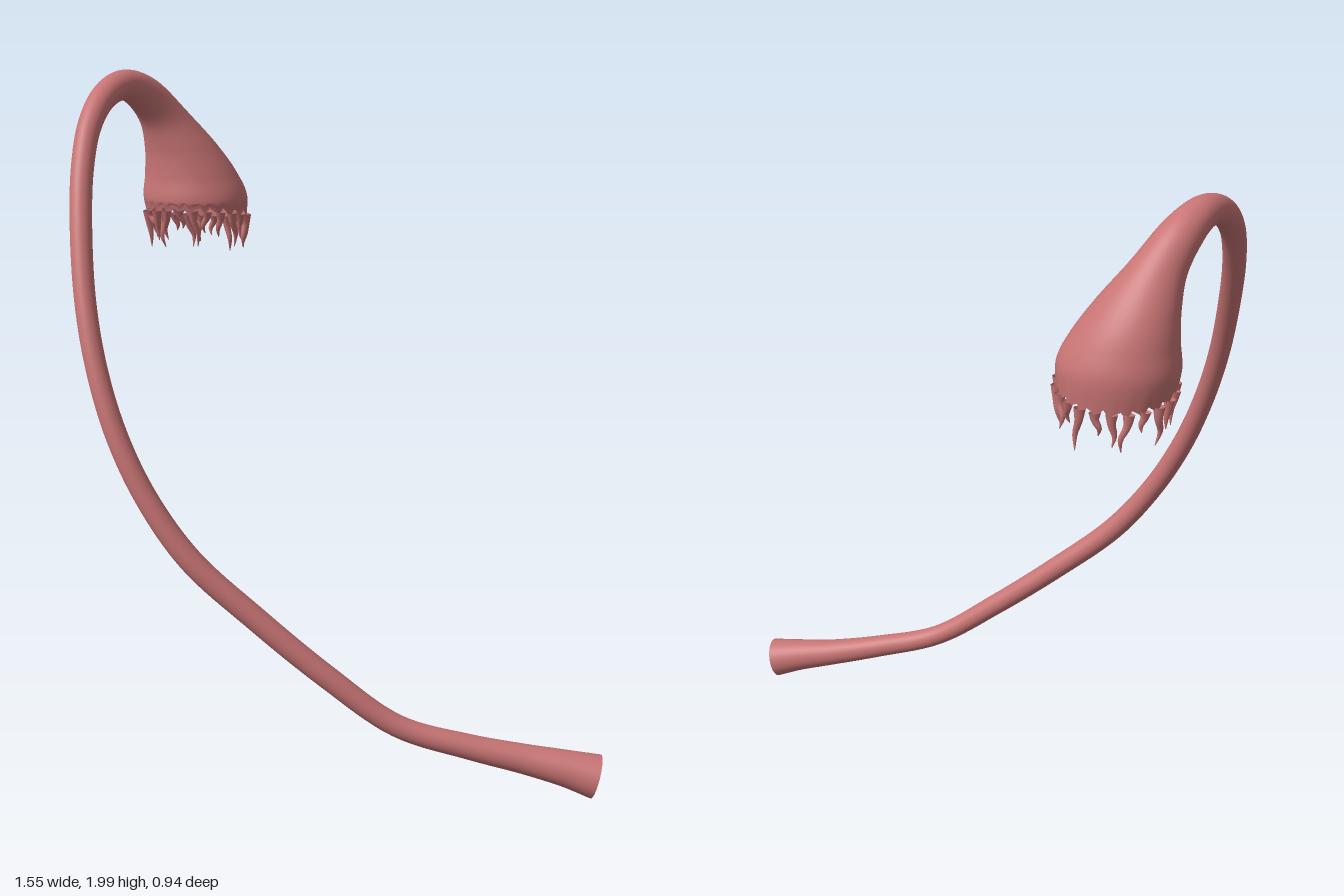
import * as THREE from 'three';

const material = new THREE.MeshStandardMaterial({ color: 0xc87474, side: THREE.DoubleSide });

// Lofts round sections along a smooth path. Each station is [x, y, z, radius].
// adjust(point, centre, k) may reshape a ring vertex; k runs from 0 to 1 along the path.
// facing(tangent, k) may turn the plane of a ring.
function loft(stations, rings, sides, { adjust, facing } = {}) {
  const path = new THREE.CatmullRomCurve3(stations.map(s => new THREE.Vector3(s[0], s[1], s[2])));
  const radii = new THREE.CatmullRomCurve3(
    stations.map((s, i) => new THREE.Vector3(s[3], i * 0.1, 0)), false, 'catmullrom', 0.5);
  const positions = [], index = [];
  let normal = new THREE.Vector3(0.31, 0.2, 0.93);
  for (let i = 0; i <= rings; i++) {
    const k = i / rings;
    const centre = path.getPoint(k), tangent = path.getTangent(k);
    if (facing) facing(tangent, k);
    const r = Math.max(radii.getPoint(k).x, 0.0008);
    // carry the previous normal along so the rings do not twist
    normal = normal.clone().addScaledVector(tangent, -normal.dot(tangent)).normalize();
    const side = tangent.clone().cross(normal);
    for (let j = 0; j < sides; j++) {
      const a = j / sides * Math.PI * 2;
      const p = centre.clone().addScaledVector(normal, r * Math.cos(a)).addScaledVector(side, r * Math.sin(a));
      if (adjust) adjust(p, centre, k);
      positions.push(p.x, p.y, p.z);
      if (i < rings) {
        const a0 = i * sides + j, b0 = i * sides + (j + 1) % sides;
        index.push(a0, b0, a0 + sides, b0, b0 + sides, a0 + sides);
      }
    }
  }
  const g = new THREE.BufferGeometry();
  g.setAttribute('position', new THREE.Float32BufferAttribute(positions, 3));
  g.setIndex(index);
  g.computeVertexNormals();
  return g;
}

function add(group, name, geometry) {
  const mesh = new THREE.Mesh(geometry, material);
  mesh.name = name;
  group.add(mesh);
}

// height of the slanted, scalloped mouth rim
const FRINGES = 22;
const rimY = (z, a) => 1.55 + (z + 0.33) * 0.22 - 0.012 * Math.cos(a * FRINGES);

export function createModel() {
  const group = new THREE.Group();
  group.name = 'curvedTube';

  // stalk from its flared open end up to the hook
  const stalk = [
    [0.763, 0.068, 0.3, 0.064], [0.68, 0.09, 0.308, 0.053], [0.56, 0.117, 0.322, 0.043],
    [0.4, 0.157, 0.35, 0.036], [0.2, 0.222, 0.383, 0.032], [0, 0.37, 0.405, 0.033],
    [-0.2, 0.54, 0.42, 0.034], [-0.38, 0.71, 0.434, 0.034], [-0.5, 0.88, 0.428, 0.032],
    [-0.585, 1.05, 0.407, 0.031], [-0.645, 1.22, 0.37, 0.03], [-0.69, 1.4, 0.312, 0.03],
    [-0.722, 1.6, 0.226, 0.031], [-0.738, 1.75, 0.143, 0.032], [-0.738, 1.86, 0.062, 0.034],
    [-0.722, 1.93, -0.03, 0.038], [-0.694, 1.954, -0.125, 0.044],
  ];
  // swelling bell that hangs from the hook
  const bell = [
    [-0.66, 1.925, -0.205, 0.055], [-0.615, 1.845, -0.272, 0.074], [-0.572, 1.745, -0.314, 0.115],
    [-0.55, 1.665, -0.328, 0.144], [-0.541, 1.605, -0.33, 0.16], [-0.537, 1.55, -0.33, 0.154],
  ];
  const stations = [...stalk, ...bell];
  const hook = (stalk.length - 1) / (stations.length - 1);
  const down = new THREE.Vector3(0, -1, 0);
  add(group, 'stalkAndBell', loft(stations, 176, 66, {
    // rings turn level towards the mouth
    facing: (t, k) => t.lerp(down, THREE.MathUtils.smoothstep(k, hook, 0.88)).normalize(),
    // the bell is narrower front to back and ends in the slanted rim
    adjust: (p, c, k) => {
      p.z = c.z + (p.z - c.z) * (1 - 0.14 * THREE.MathUtils.smoothstep(k, hook, 0.93));
      const w = THREE.MathUtils.smoothstep(k, 0.95, 1);
      p.y += w * (rimY(p.z, Math.atan2(p.z - c.z, p.x - c.x)) - 1.55);
    },
  }));

  // fringe of tapering, curling fingers around the mouth
  const fringe = new THREE.Group();
  fringe.name = 'fringe';
  for (let i = 0; i < FRINGES; i++) {
    const a = i / FRINGES * Math.PI * 2;
    const vary = n => Math.sin(i * n + n);
    const length = 0.085 + 0.03 * vary(2.4);
    const sway = 0.022 * vary(1.7);
    const at = (spread, drop, drift, r) => {
      const x = -0.537 + 0.154 * spread * Math.cos(a) - drift * Math.sin(a);
      const z = -0.33 + 0.132 * spread * Math.sin(a) + drift * Math.cos(a) - drop * 0.12;
      return [x, rimY(-0.33 + 0.132 * Math.sin(a), a) + 0.012 - drop, z, r];
    };
    add(fringe, 'finger', loft([
      at(0.985, 0, 0, 0.016),
      at(0.98, length * 0.3, sway * 0.1, 0.0105),
      at(0.95, length * 0.65, sway * 0.8, 0.007),
      at(0.93 + 0.06 * vary(3.1), length, sway * 0.5, 0.001),
    ], 10, 8));
  }
  group.add(fringe);
  return group;
}
